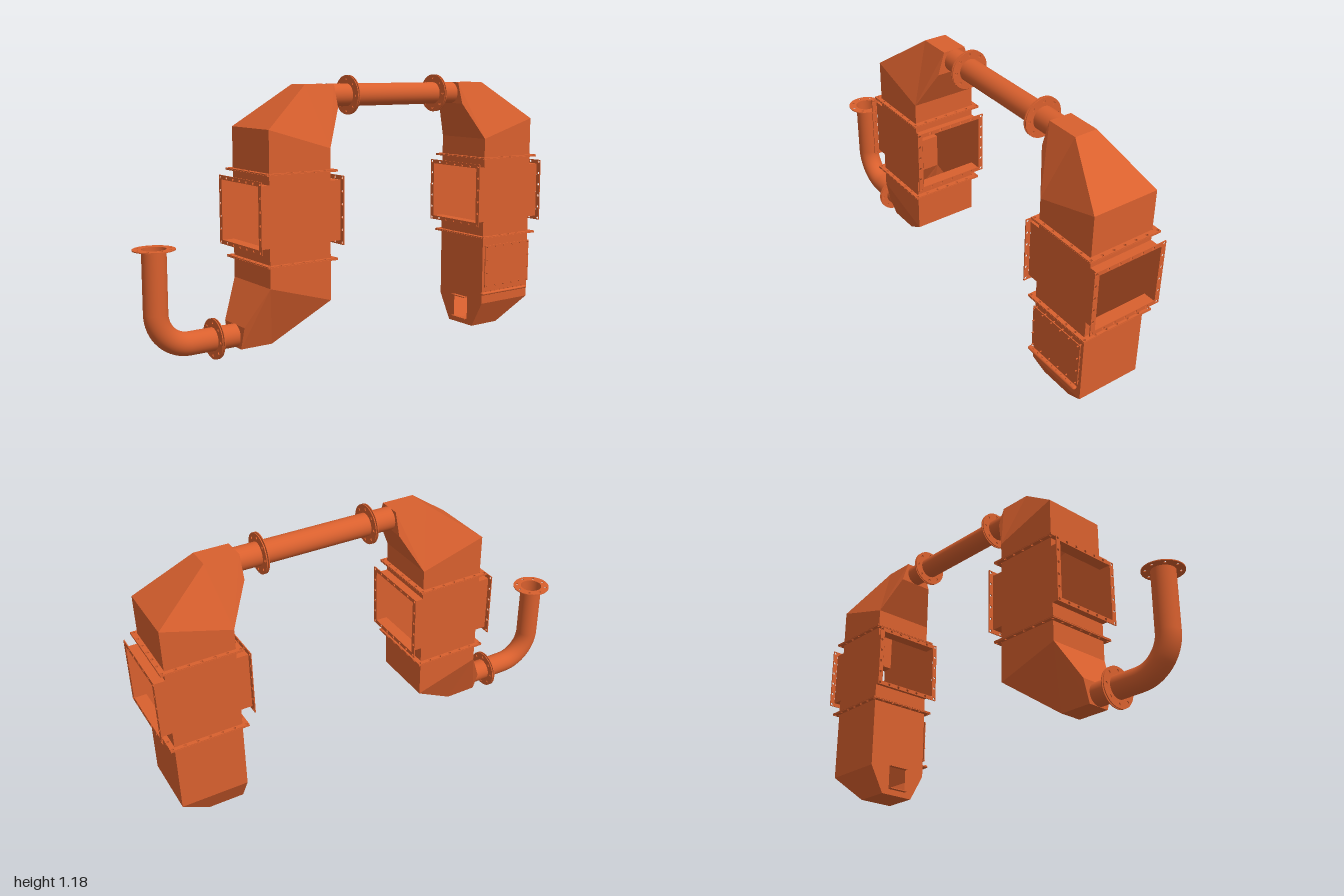
import * as THREE from 'three';

const paint = new THREE.MeshStandardMaterial({ color: 0xd9602e, side: THREE.DoubleSide });
paint.name = 'orange paint';

const T = 0.004; // sheet thickness of flanges
const PIPE_R = 0.048;

function add(parent, name, geometry, x = 0, y = 0, z = 0) {
  const mesh = new THREE.Mesh(geometry, paint);
  mesh.name = name;
  mesh.position.set(x, y, z);
  parent.add(mesh);
  return mesh;
}

// Flat-shaded sheet metal from a list of polygons
function sheets(polygons) {
  const pos = [];
  for (const p of polygons)
    for (let i = 1; i < p.length - 1; i++) pos.push(...p[0], ...p[i], ...p[i + 1]);
  const g = new THREE.BufferGeometry();
  g.setAttribute('position', new THREE.Float32BufferAttribute(pos, 3));
  g.computeVertexNormals();
  return g;
}

const mirrorZ = (p) => p.map(([x, y, z]) => [x, y, -z]).reverse();

function rectPath(w, h, target = new THREE.Path(), cy = 0) {
  return target.moveTo(-w / 2, cy - h / 2).lineTo(w / 2, cy - h / 2)
    .lineTo(w / 2, cy + h / 2).lineTo(-w / 2, cy + h / 2).closePath();
}

function punch(shape, x, y, r) {
  shape.holes.push(new THREE.Path().absarc(x, y, r, 0, Math.PI * 2, true));
}

function plate(shape) {
  const g = new THREE.ExtrudeGeometry(shape, { depth: T, bevelEnabled: false, curveSegments: 10 });
  return g.translate(0, 0, -T / 2);
}

// Evenly spaced points round a rectangle
function perimeter(w, h, nx, ny) {
  const pts = [];
  for (let i = 0; i < nx; i++)
    for (let j = 0; j < ny; j++)
      if (i === 0 || j === 0 || i === nx - 1 || j === ny - 1)
        pts.push([(i / (nx - 1) - 0.5) * w, (j / (ny - 1) - 0.5) * h]);
  return pts;
}

function rectFlange(w, h, nx, ny) {
  const shape = rectPath(w, h, new THREE.Shape());
  shape.holes.push(rectPath(w - 0.044, h - 0.036));
  for (const [x, y] of perimeter(w - 0.018, h - 0.018, nx, ny)) punch(shape, x, y, 0.006);
  return plate(shape);
}

function roundFlange() {
  const shape = new THREE.Shape().absarc(0, 0, 0.083, 0, Math.PI * 2);
  shape.curves.length && punch(shape, 0, 0, PIPE_R);
  for (let i = 0; i < 8; i++) {
    const a = i * Math.PI / 4;
    punch(shape, 0.067 * Math.cos(a), 0.067 * Math.sin(a), 0.006);
  }
  return new THREE.ExtrudeGeometry(shape, { depth: T, bevelEnabled: false, curveSegments: 32 })
    .translate(0, 0, -T / 2);
}

function pipeX(parent, name, x0, x1, y) {
  const g = new THREE.CylinderGeometry(PIPE_R, PIPE_R, x1 - x0, 32, 1, true).rotateZ(Math.PI / 2);
  add(parent, name, g, (x0 + x1) / 2, y);
}

function jointX(parent, x, y) {
  for (const s of [-1, 1]) add(parent, 'pipeFlange', roundFlange().rotateY(Math.PI / 2), x + s * 0.0045, y);
}

// Tapered hood, body width to pipe, outlet towards +x
function hood() {
  const W = 0.145;
  const P = [-W, 0.8, W], Q = [W, 0.8, W], A = [-W, 0.975, W], B = [W, 0.89, W];
  const C = [0.085, 1.145, 0.05], D = [0.229, 1.145, 0.05], E = [0.229, 1.05, 0.08];
  const m = ([x, y, z]) => [x, y, -z];
  const side = [[P, Q, B, A], [A, B, C], [B, D, C], [B, E, D]];
  return sheets([
    ...side, ...side.map(mirrorZ),
    [m(P), P, A, m(A)], [m(A), A, C, m(C)], [m(C), C, D, m(D)],
    [D, E, m(E), m(D)], [Q, m(Q), m(B), B], [B, m(B), m(E), E],
  ]);
}

// Hollow crossing: a vertical duct with an open window stub on each side
function crossing(parent) {
  const W = 0.145, S = 0.195, y0 = 0.435, y1 = 0.507, y2 = 0.758, y3 = 0.8;
  const front = [
    [[-W, y0, W], [W, y0, W], [W, y3, W], [-W, y3, W]],
    [[W, y1, W], [S, y1, W], [S, y2, W], [W, y2, W]],
    [[-S, y1, W], [-W, y1, W], [-W, y2, W], [-S, y2, W]],
  ];
  const right = [
    [[W, y0, W], [W, y0, -W], [W, y1, -W], [W, y1, W]],
    [[W, y2, W], [W, y2, -W], [W, y3, -W], [W, y3, W]],
    [[W, y1, W], [W, y1, -W], [S, y1, -W], [S, y1, W]],
    [[W, y2, W], [S, y2, W], [S, y2, -W], [W, y2, -W]],
  ];
  const left = right.map((p) => p.map(([x, y, z]) => [-x, y, z]).reverse());
  add(parent, 'crossDuct', sheets([...front, ...front.map(mirrorZ), ...right, ...left]));
  for (const s of [-1, 1])
    add(parent, 'windowFlange', rectFlange(0.338, 0.287, 7, 6).rotateY(Math.PI / 2), s * S, 0.633);
  for (const y of [y0, y3])
    for (const s of [-1, 1])
      add(parent, 'ductFlange', rectFlange(0.334, 0.334, 7, 7).rotateX(Math.PI / 2), 0, y + s * 0.0025);
}

// Lower bin with sloped bottom, side outlet and bolted front door
function hopper(parent) {
  const W = 0.145, b = 0.08;
  const front = [
    [[-W, 0.12, W], [W, 0.12, W], [W, 0.435, W], [-W, 0.435, W]],
    [[-W, 0, b], [0.01, 0, b], [W, 0.12, W], [-W, 0.12, W]],
  ];
  add(parent, 'hopperWalls', sheets([
    ...front, ...front.map(mirrorZ),
    [[W, 0.12, W], [W, 0.12, -W], [W, 0.435, -W], [W, 0.435, W]],
    [[0.01, 0, b], [0.01, 0, -b], [W, 0.12, -W], [W, 0.12, W]],
    [[-W, 0, b], [-W, 0, -b], [0.01, 0, -b], [0.01, 0, b]],
  ]));

  const wall = new THREE.Shape().moveTo(-b, 0).lineTo(b, 0).lineTo(W, 0.12)
    .lineTo(W, 0.435).lineTo(-W, 0.435).lineTo(-W, 0.12).closePath();
  wall.holes.push(rectPath(0.09, 0.1, new THREE.Path(), 0.08));
  add(parent, 'outletWall', new THREE.ShapeGeometry(wall).rotateY(-Math.PI / 2), -W);
  for (const y of [0.028, 0.132])
    add(parent, 'outletLip', new THREE.BoxGeometry(0.018, T, 0.09), -W - 0.009, y);

  add(parent, 'door', new THREE.BoxGeometry(0.28, 0.196, T), 0, 0.298, 0.157);
  for (const [x, y] of perimeter(0.262, 0.184, 6, 4)) {
    const bolt = new THREE.CylinderGeometry(0.003, 0.003, 0.022, 8).rotateX(Math.PI / 2);
    add(parent, 'doorBolt', bolt, x, 0.298 + y, 0.156);
  }

  // Slide bar under the door
  const bar = new THREE.CapsuleGeometry(0.007, 0.276, 4, 10).rotateZ(Math.PI / 2).scale(1, 1, 1.6);
  add(parent, 'slideBar', bar, -0.015, 0.17, 0.156);
  for (let i = 0; i < 9; i++)
    add(parent, 'barStud', new THREE.CylinderGeometry(0.003, 0.003, 0.02, 8), -0.13 + i * 0.029, 0.172, 0.157);
}

export function createModel() {
  const model = new THREE.Group();
  model.name = 'ductAssembly';
  const units = [-0.345, 0.8].map((x, i) => {
    const unit = new THREE.Group();
    unit.name = i ? 'leftUnit' : 'rightUnit';
    unit.position.x = x;
    crossing(unit);
    add(unit, 'upperHood', hood()).rotation.y = i * Math.PI;
    model.add(unit);
    return unit;
  });
  add(units[0], 'lowerHood', hood(), 0, 1.235).rotation.z = Math.PI;
  hopper(units[1]);

  // Bridge pipe between the hoods
  pipeX(model, 'bridgePipe', -0.12, 0.575, 1.098);
  for (const x of [-0.01, 0.47]) jointX(model, x, 1.098);

  // Inlet pipe with quarter bend
  const bx = -0.777, by = 0.279, R = 0.14;
  pipeX(model, 'inletPipe', bx, -0.57, by - R);
  jointX(model, -0.668, by - R);
  add(model, 'inletBend', new THREE.TorusGeometry(R, PIPE_R, 32, 16, Math.PI / 2).rotateZ(Math.PI), bx, by);
  add(model, 'inletRiser', new THREE.CylinderGeometry(PIPE_R, PIPE_R, 0.251, 32, 1, true), bx - R, by + 0.1255);
  add(model, 'inletFlange', roundFlange().rotateX(Math.PI / 2), bx - R, 0.53);
  return model;
}
